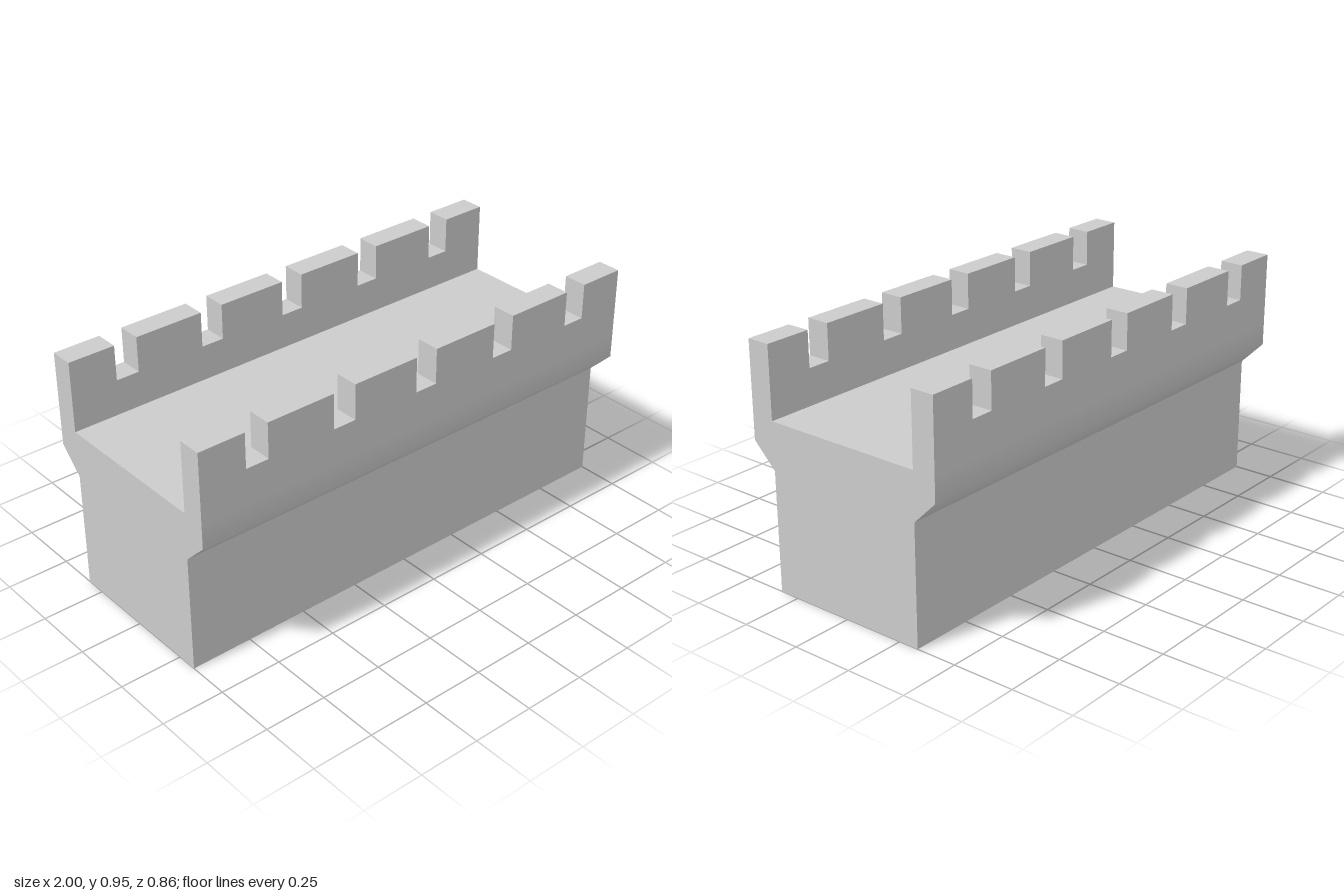
import * as THREE from 'three';

const U = 2 / 21; // building module: every size is a multiple of it
const LENGTH = 21 * U;
const WALL = 3.5 * U; // half depth of the wall
const OUTER = 4.5 * U; // half depth of the overhang
const CORBEL_BASE = 5 * U, CORBEL_TOP = 6 * U, WALK = 7 * U;
const NOTCH_FLOOR = 8.5 * U, TOP = 10 * U;

const material = new THREE.MeshStandardMaterial({ color: 0xcccccc });

function extrude(points, depth) {
  const shape = new THREE.Shape(points.map(([x, y]) => new THREE.Vector2(x, y)));
  const geometry = new THREE.ExtrudeGeometry(shape, { depth, bevelEnabled: false });
  return geometry.translate(0, 0, -depth / 2);
}

// Wall body: cross-section with flared corbels, run along x
function wallBody() {
  const half = [[WALL, 0], [WALL, CORBEL_BASE], [OUTER, CORBEL_TOP], [OUTER, WALK]];
  const mirrored = half.map(([z, y]) => [-z, y]).reverse();
  const geometry = extrude([...half, ...mirrored], LENGTH).rotateY(Math.PI / 2);

  // Smooth the bend where each corbel meets the upright face
  const { position, normal } = geometry.attributes;
  const bend = Math.PI / 8;
  for (let i = 0; i < position.count; i++) {
    const onSide = Math.abs(normal.getX(i)) < 0.5;
    if (onSide && Math.abs(position.getY(i) - CORBEL_TOP) < 1e-4) {
      normal.setXYZ(i, 0, -Math.sin(bend), Math.sign(position.getZ(i)) * Math.cos(bend));
    }
  }
  const mesh = new THREE.Mesh(geometry, material);
  mesh.name = 'wallBody';
  return mesh;
}

// Parapet: crenellated outline with five notches
function parapet(side) {
  const end = LENGTH / 2;
  const points = [[-end, WALK], [end, WALK], [end, TOP]];
  for (let i = 2; i >= -2; i--) {
    const x = i * 4 * U;
    const right = x + U / 2, left = x - U / 2;
    points.push([right, TOP], [right, NOTCH_FLOOR], [left, NOTCH_FLOOR], [left, TOP]);
  }
  points.push([-end, TOP]);
  const mesh = new THREE.Mesh(extrude(points, OUTER - WALL), material);
  mesh.position.z = side * (OUTER + WALL) / 2;
  mesh.name = side > 0 ? 'frontParapet' : 'backParapet';
  return mesh;
}

export function createModel() {
  const group = new THREE.Group();
  group.name = 'castleWall';
  group.add(wallBody(), parapet(1), parapet(-1));
  return group;
}
